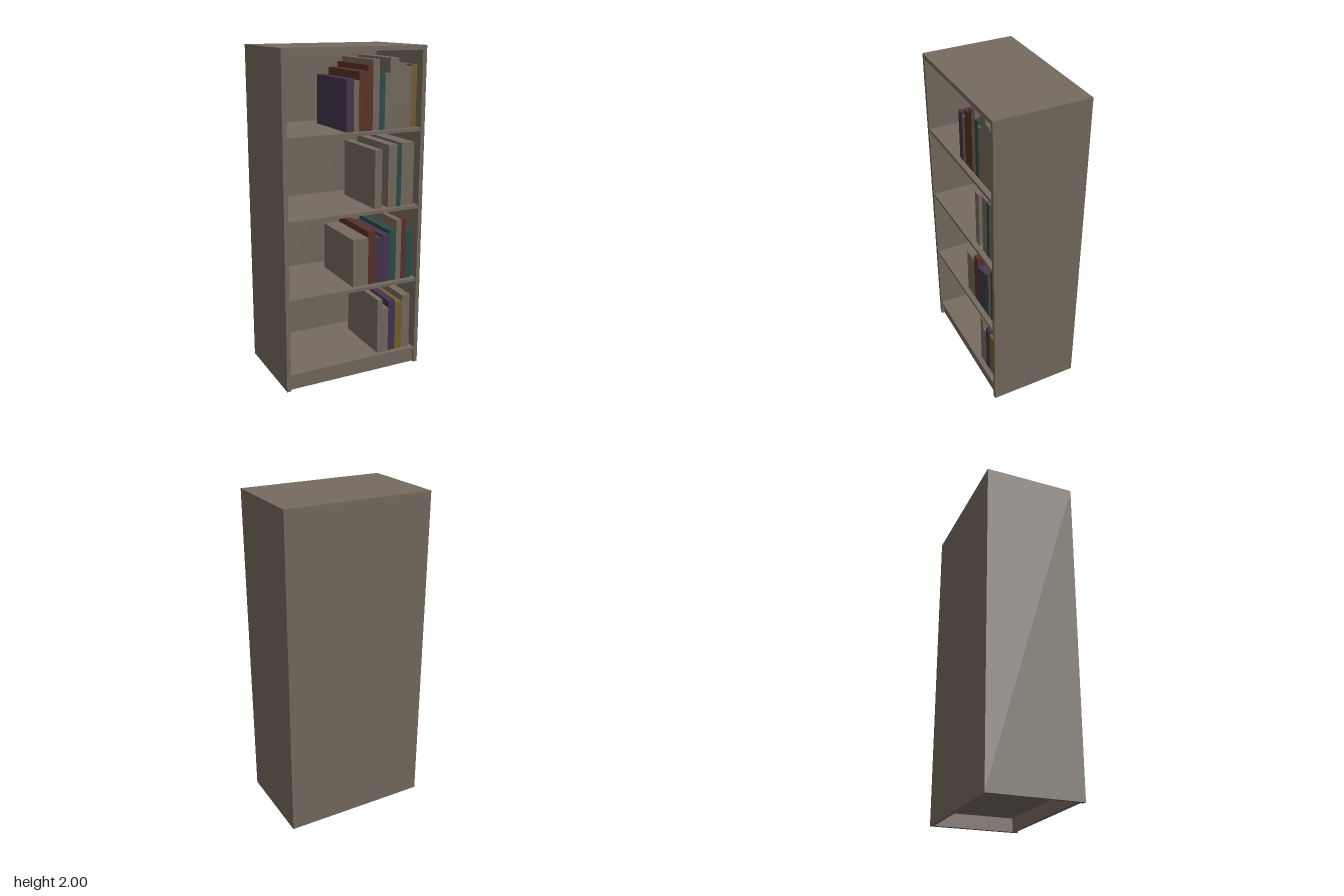
import * as THREE from 'three';

const mat = (name, color) => {
  const m = new THREE.MeshStandardMaterial({ color });
  m.name = name;
  return m;
};

// Box given by its min and max on each axis
function block(name, material, [x0, x1], [y0, y1], [z0, z1]) {
  const mesh = new THREE.Mesh(new THREE.BoxGeometry(x1 - x0, y1 - y0, z1 - z0), material);
  mesh.position.set((x0 + x1) / 2, (y0 + y1) / 2, (z0 + z1) / 2);
  mesh.name = name;
  return mesh;
}

export function createModel() {
  const wood = mat('greyBrownWood', 0x766b5f);
  const books = {
    b: wood,
    p: mat('purpleCover', 0x45354f),
    r: mat('redCover', 0x5a3226),
    t: mat('tealCover', 0x2a4d4a),
    y: mat('yellowCover', 0x795f2e),
  };
  const W = 0.453, D = 0.283, T = 0.026; // half width, half depth, board thickness
  const inner = W - T, back = -D + 0.02;

  const model = new THREE.Group();
  model.name = 'bookcase';

  // Carcass
  for (const s of [-1, 1]) {
    const xs = s < 0 ? [-W, -inner] : [inner, W];
    model.add(block(s < 0 ? 'rightSide' : 'leftSide', wood, xs, [0, 2], [-D, D]));
  }
  model.add(block('top', wood, [-inner, inner], [2 - T, 2], [-D, D]));
  model.add(block('backPanel', wood, [-inner, inner], [0, 2 - T], [-D, back]));
  model.add(block('kickBoard', wood, [-inner, inner], [0, 0.083], [D - 0.04, D - 0.018]));

  // Shelves, each with a row of books: [cover, left x, right x, top y]
  const rows = [
    [0.104, [['b', 0.175, 0.21, 0.46], ['b', 0.21, 0.253, 0.395], ['p', 0.253, 0.302, 0.44],
      ['y', 0.302, 0.353, 0.42], ['b', 0.353, 0.408, 0.46]]],
    [0.577, [['b', 0, 0.104, 0.875], ['r', 0.104, 0.152, 0.915], ['p', 0.152, 0.205, 0.862],
      ['p', 0.205, 0.253, 0.875], ['t', 0.253, 0.297, 0.9], ['b', 0.297, 0.333, 0.962],
      ['r', 0.333, 0.365, 0.962], ['t', 0.365, 0.411, 0.885]]],
    [1.05, [['b', 0.143, 0.19, 1.405], ['b', 0.233, 0.291, 1.43], ['t', 0.291, 0.323, 1.423],
      ['b', 0.323, 0.37, 1.435], ['b', 0.37, 0.408, 1.435]]],
    [1.523, [['p', -0.048, 0, 1.822], ['b', 0, 0.032, 1.812], ['r', 0.032, 0.09, 1.862],
      ['r', 0.09, 0.122, 1.895], ['b', 0.122, 0.164, 1.925], ['t', 0.164, 0.201, 1.87],
      ['b', 0.201, 0.233, 1.845], ['b', 0.233, 0.291, 1.932], ['b', 0.291, 0.338, 1.9],
      ['b', 0.338, 0.375, 1.88], ['y', 0.375, 0.412, 1.89]]],
  ];
  for (const [y, list] of rows) {
    model.add(block('shelf', wood, [-inner, inner], [y - 0.02, y], [back, D - 0.004]));
    const row = new THREE.Group();
    row.name = 'bookRow';
    for (const [cover, x0, x1, top] of list) {
      row.add(block('book', books[cover], [x0, x1], [y, top], [-0.15, 0.247]));
    }
    model.add(row);
  }
  return model;
}
